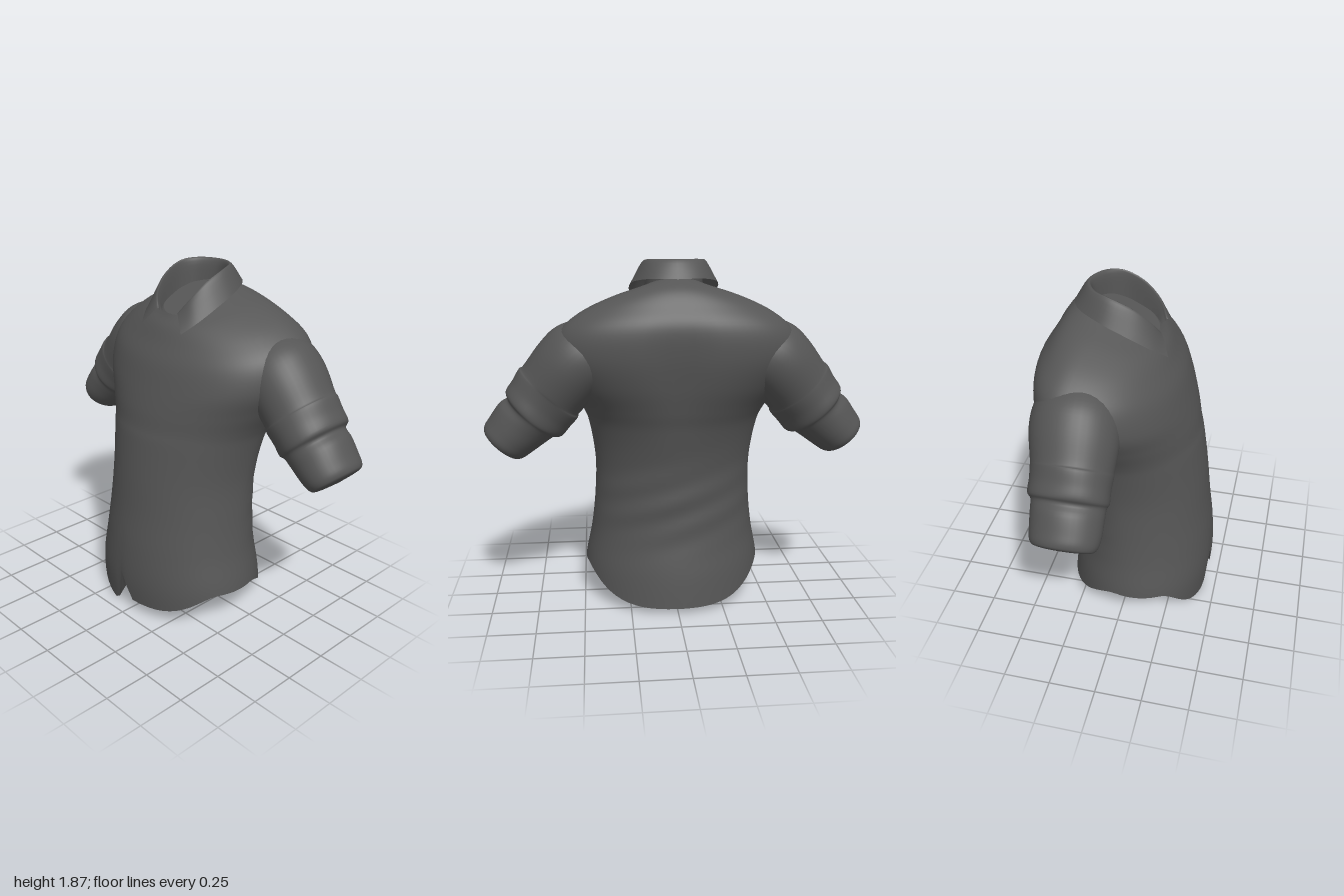
import * as THREE from 'three';

const fabric = new THREE.MeshStandardMaterial({ color: 0x555555, side: THREE.DoubleSide });
fabric.name = 'charcoalFabric';

// Skin a grid of points; fn(r, c) gets 0..1 along and around
function loft(rows, cols, closed, fn) {
  const pos = [], idx = [], n = closed ? cols : cols + 1;
  for (let r = 0; r <= rows; r++)
    for (let c = 0; c < n; c++) pos.push(...fn(r / rows, c / cols));
  for (let r = 0; r < rows; r++)
    for (let c = 0; c < cols; c++) {
      const a = r * n + c, b = r * n + (c + 1) % n;
      idx.push(a, b, b + n, a, b + n, a + n);
    }
  const g = new THREE.BufferGeometry();
  g.setAttribute('position', new THREE.Float32BufferAttribute(pos, 3));
  g.setIndex(idx);
  g.computeVertexNormals();
  return g;
}

function mesh(name, geometry) {
  const m = new THREE.Mesh(geometry, fabric);
  m.name = name;
  return m;
}

const curve = (pts) =>
  new THREE.CatmullRomCurve3(pts.map((p) => new THREE.Vector3(...p)), false, 'catmullrom', 0.5);
const bell = (v, mid, width) => Math.exp(-(((v - mid) / width) ** 2));
const { smoothstep, lerp } = THREE.MathUtils;

// Torso sections: height, half width, side z, front z, back z, forward tilt
const sections = [
  [0, 0.5, 0.08, 0.44, -0.365, 0], [0.2, 0.49, 0.07, 0.455, -0.34, 0],
  [0.4, 0.452, 0.05, 0.445, -0.305, 0], [0.6, 0.43, 0.03, 0.42, -0.298, 0],
  [0.8, 0.425, 0, 0.398, -0.305, 0], [1.0, 0.452, -0.03, 0.368, -0.35, 0],
  [1.1, 0.485, -0.07, 0.35, -0.39, 0.05], [1.22, 0.555, -0.14, 0.332, -0.43, 0.1],
  [1.36, 0.625, -0.18, 0.3, -0.455, 0.15], [1.5, 0.605, -0.19, 0.26, -0.45, 0.2],
  [1.6, 0.5, -0.18, 0.21, -0.395, 0.25], [1.675, 0.335, -0.15, 0.165, -0.335, 0.3],
  [1.71, 0.165, -0.07, 0.115, -0.25, 0.4],
];
const shapeA = curve(sections.map((s) => s.slice(0, 3)));
const shapeB = curve(sections.map((s) => s.slice(3)));

function torsoPoint(u, angle) {
  const { x: y, y: w, z: zs } = shapeA.getPoint(u);
  const { x: zf, y: zb, z: tilt } = shapeB.getPoint(u);
  const s = Math.sin(angle), c = Math.cos(angle);
  // The upper back is flatter than an ellipse
  const k = c > 0 ? 1 : lerp(1, 0.75, bell(y, 1.4, 0.25));
  const x = w * Math.sign(s) * Math.abs(s) ** k;
  let z = c > 0 ? zs + (zf - zs) * c : zs - (zs - zb) * Math.abs(c) ** k;
  if (c < 0) {
    // Spine hollow between the shoulder blades, and slanting waist folds
    z += 0.03 * bell(x, 0, 0.12) * bell(y, 1.3, 0.25);
    z += 0.005 * Math.sin(y * 38 + x * 12) * bell(y, 0.58, 0.18) * -c;
  }
  return [x, y - tilt * (z - zs), z];
}

// Hem height: high at the sides, shirt tails front and back, slit in front
const slit = -0.12;
function hemHeight(angle) {
  const c = Math.cos(angle), d = Math.atan2(Math.sin(angle - slit), Math.cos(angle - slit));
  if (c < 0) return 0.2 - 0.16 * smoothstep(-c, 0.2, 1);
  const tail = d < 0 ? 0.195 * smoothstep(c, 0.42, 0.99) : 0.125 * smoothstep(c, 0.35, 1);
  const open = Math.max(0, 1 - Math.abs(d) / (d < 0 ? 0.1 : 0.17));
  return lerp(0.2 - tail, 0.23, open);
}

function torsoSkin(r, c) {
  const angle = slit + c * Math.PI * 2;
  const lift = hemHeight(angle) / 0.2 / (sections.length - 1);
  return torsoPoint(r + lift * (1 - r) ** 4, angle);
}

// Hollow underside: rises from the hem to a shallow dome inside
function underside() {
  return loft(16, 72, true, (r, c) => {
    const [x, y, z] = torsoSkin(0, 1 - c);
    return [lerp(x, 0, r), lerp(0.27, y, (1 - r) ** 2.5), lerp(z, 0.05, r)];
  });
}

function neckFill() {
  return loft(4, 48, true, (r, c) => {
    const [x, y, z] = torsoPoint(1, c * Math.PI * 2);
    return [lerp(x, 0, r), lerp(y, 1.71, r), lerp(z, -0.07, r)];
  });
}

// Sleeve rings: x, y, z, radius across, radius in z
const sleeveRings = [
  [0.34, 1.475, -0.19, 0.17, 0.17], [0.45, 1.405, -0.185, 0.208, 0.215],
  [0.545, 1.328, -0.18, 0.2, 0.222], [0.64, 1.22, -0.168, 0.188, 0.205],
  [0.66, 1.195, -0.163, 0.196, 0.203], [0.7, 1.145, -0.16, 0.19, 0.198],
  [0.74, 1.095, -0.16, 0.186, 0.198], [0.755, 1.072, -0.16, 0.158, 0.184],
  [0.8, 1.04, -0.155, 0.157, 0.18], [0.86, 0.98, -0.15, 0.143, 0.175],
  [0.9, 0.94, -0.15, 0.13, 0.162], [0.914, 0.924, -0.15, 0.1, 0.125],
  [0.92, 0.918, -0.15, 0, 0],
];
function sleeve(side) {
  const path = curve(sleeveRings.map((s) => s.slice(0, 3)));
  const size = curve(sleeveRings.map((s) => [s[3], s[4], 0]));
  return loft(60, 40, true, (r, c) => {
    const p = path.getPoint(r), s = size.getPoint(r), a = c * Math.PI * 2;
    const across = s.x * Math.cos(a);
    // Uneven folds around the rolled part
    const fold = 1 + 0.025 * Math.sin(3 * a + r * 9) * bell(r, 0.45, 0.15);
    return [
      side * (p.x + 0.75 * across * fold),
      p.y + 0.66 * across * fold,
      p.z + side * s.y * Math.sin(a) * fold,
    ];
  });
}

// Collar lines for one half, from centre back to front point
const collarLines = [
  [[0, 1.78, -0.305], [0.135, 1.78, -0.265], [0.222, 1.755, -0.13],
    [0.23, 1.7, 0], [0.2, 1.632, 0.11], [0.15, 1.572, 0.19]],
  [[0, 1.868, -0.25], [0.12, 1.868, -0.2], [0.168, 1.855, -0.1],
    [0.162, 1.805, 0.015], [0.132, 1.73, 0.1], [0.08, 1.655, 0.145]],
  [[0, 1.855, -0.225], [0.105, 1.855, -0.18], [0.153, 1.84, -0.095],
    [0.148, 1.79, 0.01], [0.12, 1.715, 0.09], [0.074, 1.645, 0.128]],
  [[0, 1.75, -0.21], [0.105, 1.75, -0.17], [0.147, 1.72, -0.09],
    [0.143, 1.68, 0], [0.115, 1.64, 0.07], [0.07, 1.615, 0.1]],
];
function collar() {
  const lines = collarLines.map((half) =>
    curve([...half.slice(1).reverse(), ...half.map(([x, y, z]) => [-x, y, z])]));
  return loft(12, 60, false, (r, c) =>
    curve(lines.map((l) => l.getPoint(c).toArray())).getPoint(r).toArray());
}

export function createModel() {
  const shirt = new THREE.Group();
  shirt.name = 'shirt';
  shirt.add(
    mesh('torso', loft(72, 72, true, torsoSkin)),
    mesh('underside', underside()),
    mesh('neckFill', neckFill()),
    mesh('leftSleeve', sleeve(1)),
    mesh('rightSleeve', sleeve(-1)),
    mesh('collar', collar()),
  );
  return shirt;
}
